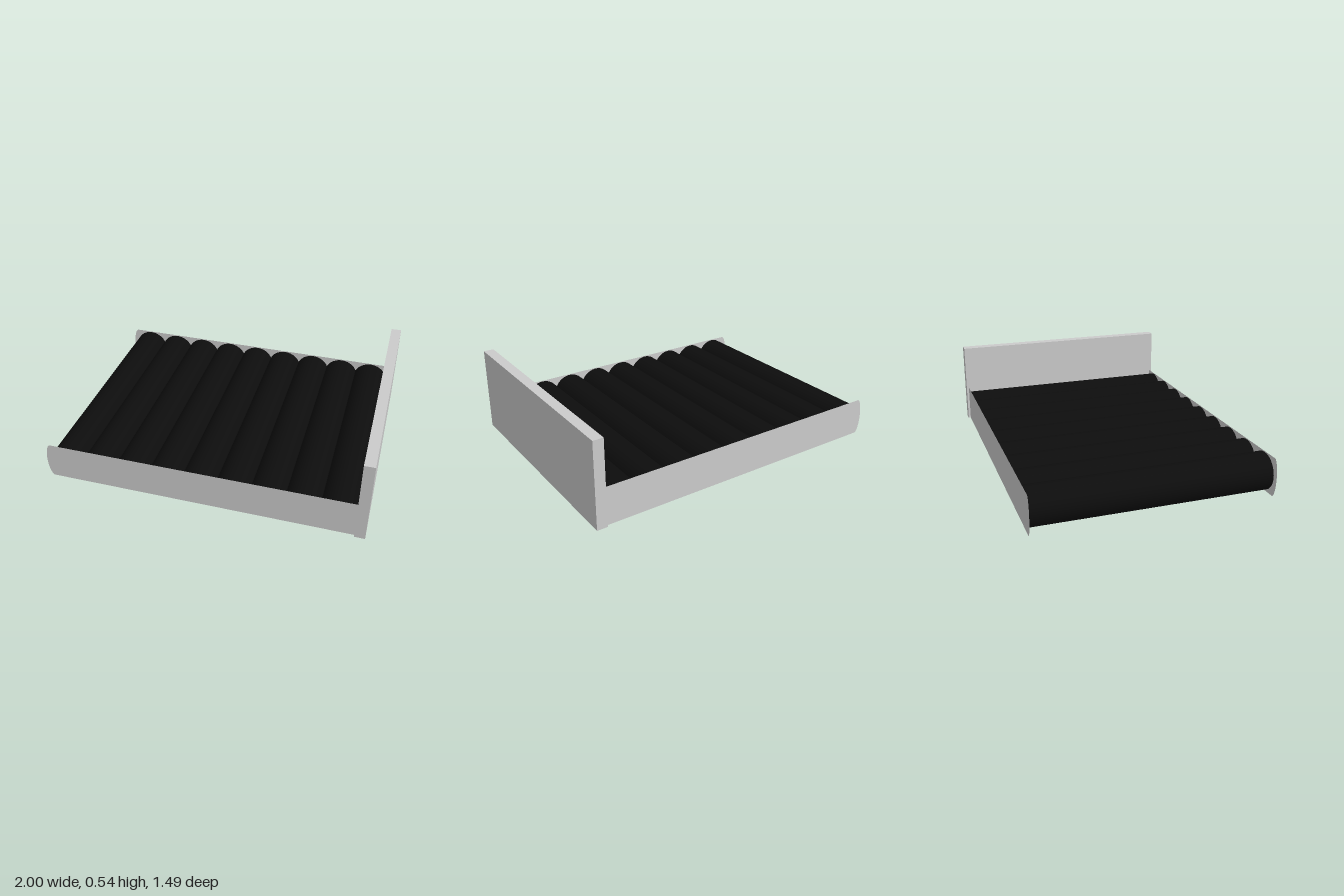
import * as THREE from 'three';

export function createModel() {
  const model = new THREE.Group();
  const grey = new THREE.MeshStandardMaterial({ color: 0xcccccc });
  const sheet = new THREE.MeshStandardMaterial({ color: 0xcccccc, side: THREE.DoubleSide });
  const black = new THREE.MeshStandardMaterial({ color: 0x0d0d0d });

  const add = (name, geometry, material, x, y, z) => {
    const mesh = new THREE.Mesh(geometry, material);
    mesh.name = name;
    mesh.position.set(x, y, z);
    model.add(mesh);
    return mesh;
  };

  // Upright stop board across one end
  add('endBoard', new THREE.BoxGeometry(0.065, 0.54, 1.49), grey, 0.9675, 0.27, 0);

  // Thin sheet side rails with a bulged free end
  const H = 0.24;
  const profile = new THREE.Shape();
  profile.moveTo(0.94, 0);
  profile.lineTo(0.94, H);
  profile.lineTo(-0.965, H);
  profile.bezierCurveTo(-0.985, H, -1, 0.18, -1, H / 2);
  profile.bezierCurveTo(-1, 0.06, -0.985, 0, -0.965, 0);
  const railGeometry = new THREE.ShapeGeometry(profile, 16);
  add('leftRail', railGeometry, sheet, 0, 0, 0.73).name = 'frontRail';
  add('backRail', railGeometry, sheet, 0, 0, -0.73);

  // Row of slightly overlapping rollers between the rails
  const rollerGeometry = new THREE.CylinderGeometry(0.116, 0.116, 1.456, 48);
  rollerGeometry.rotateX(Math.PI / 2);
  for (let i = 0; i < 9; i++) {
    add(`roller${i + 1}`, rollerGeometry, black, -0.855 + i * 0.2105, H / 2, 0);
  }

  return model;
}
